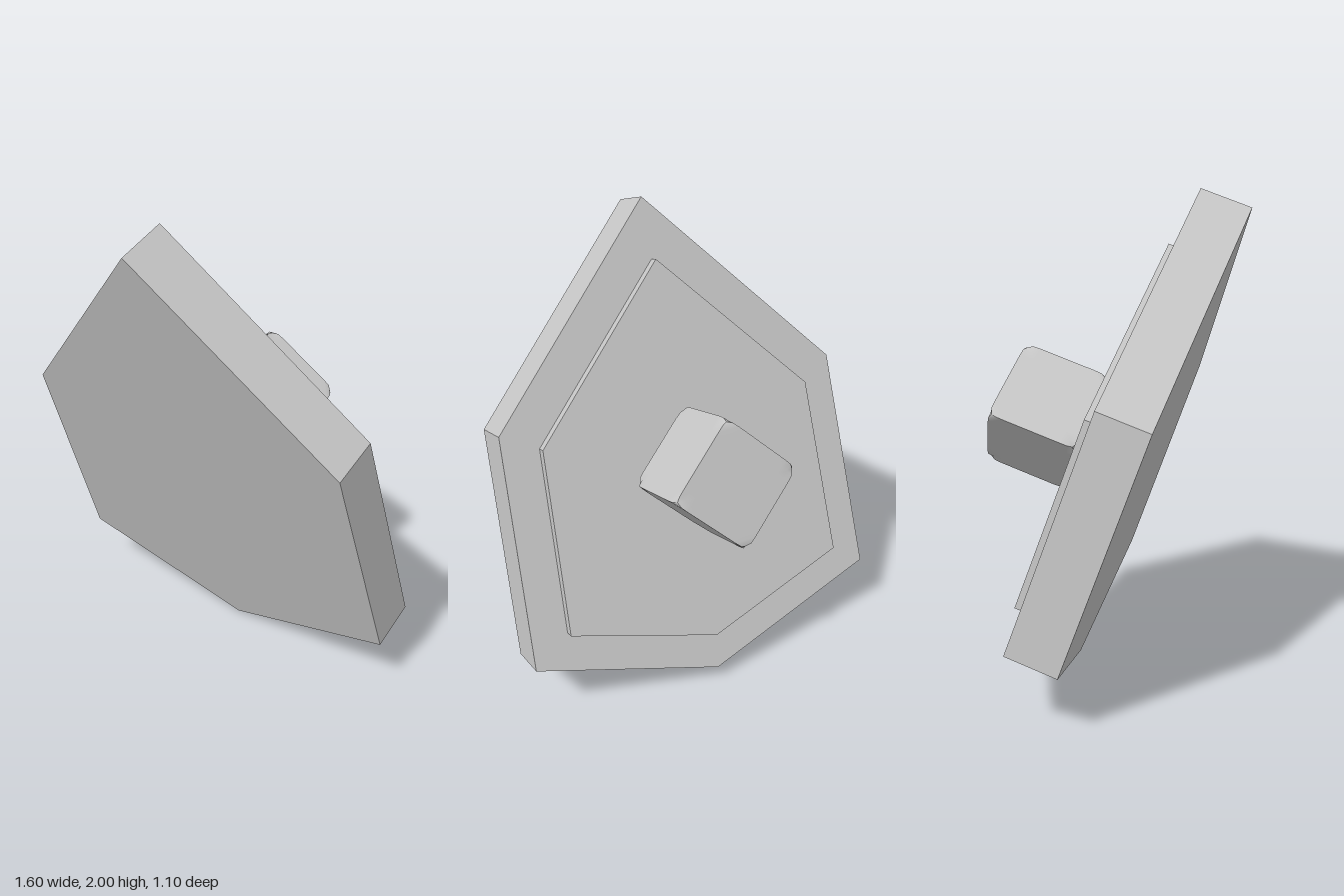
import * as THREE from 'three';

const grey = new THREE.MeshStandardMaterial({ color: 0xc8c8c8 });
grey.name = 'lightGrey';

// Mirrored six-sided plate; half outline runs from bottom tip to top tip.
function plate(name, half, front, depth) {
  const pts = [...half, ...half.slice(1, -1).reverse().map(([x, y]) => [-x, y])];
  const shape = new THREE.Shape(pts.map(([x, y]) => new THREE.Vector2(x, y)));
  const geo = new THREE.ExtrudeGeometry(shape, { depth, bevelEnabled: false });
  geo.translate(0, 0, -front - depth);
  const mesh = new THREE.Mesh(geo, grey);
  mesh.name = name;
  return mesh;
}

// Cube with crisp edges whose corners are rounded off by a sphere.
function softCube(name, size, radius) {
  const geo = new THREE.BoxGeometry(size, size, size, 12, 12, 12);
  const pos = geo.attributes.position;
  const v = new THREE.Vector3();
  for (let i = 0; i < pos.count; i++) {
    v.fromBufferAttribute(pos, i).clampLength(0, radius);
    pos.setXYZ(i, v.x, v.y, v.z);
  }
  geo.computeVertexNormals();
  const mesh = new THREE.Mesh(geo, grey);
  mesh.name = name;
  return mesh;
}

export function createModel() {
  const model = new THREE.Group();
  model.name = 'tiltedShield';

  // Everything is built upright, then leaned forward
  const tilted = new THREE.Group();
  tilted.name = 'tiltedAssembly';
  tilted.rotation.x = THREE.MathUtils.degToRad(20);
  tilted.position.set(0, 0, -0.15);

  // Main slab and the thin raised panel on its back
  tilted.add(plate('slab', [[0, 0], [0.8, 0.267], [0.755, 1.25], [0, 2.05]], 0, 0.217));
  tilted.add(plate('backPanel', [[0, 0.17], [0.64, 0.384], [0.605, 1.165], [0, 1.804]], 0.217, 0.043));

  // Floating grip block, turned on its corner
  const block = softCube('gripBlock', 0.378, 0.308);
  block.position.set(0, 0.941, -0.49);
  block.rotation.z = Math.PI / 4;
  tilted.add(block);

  model.add(tilted);
  return model;
}
